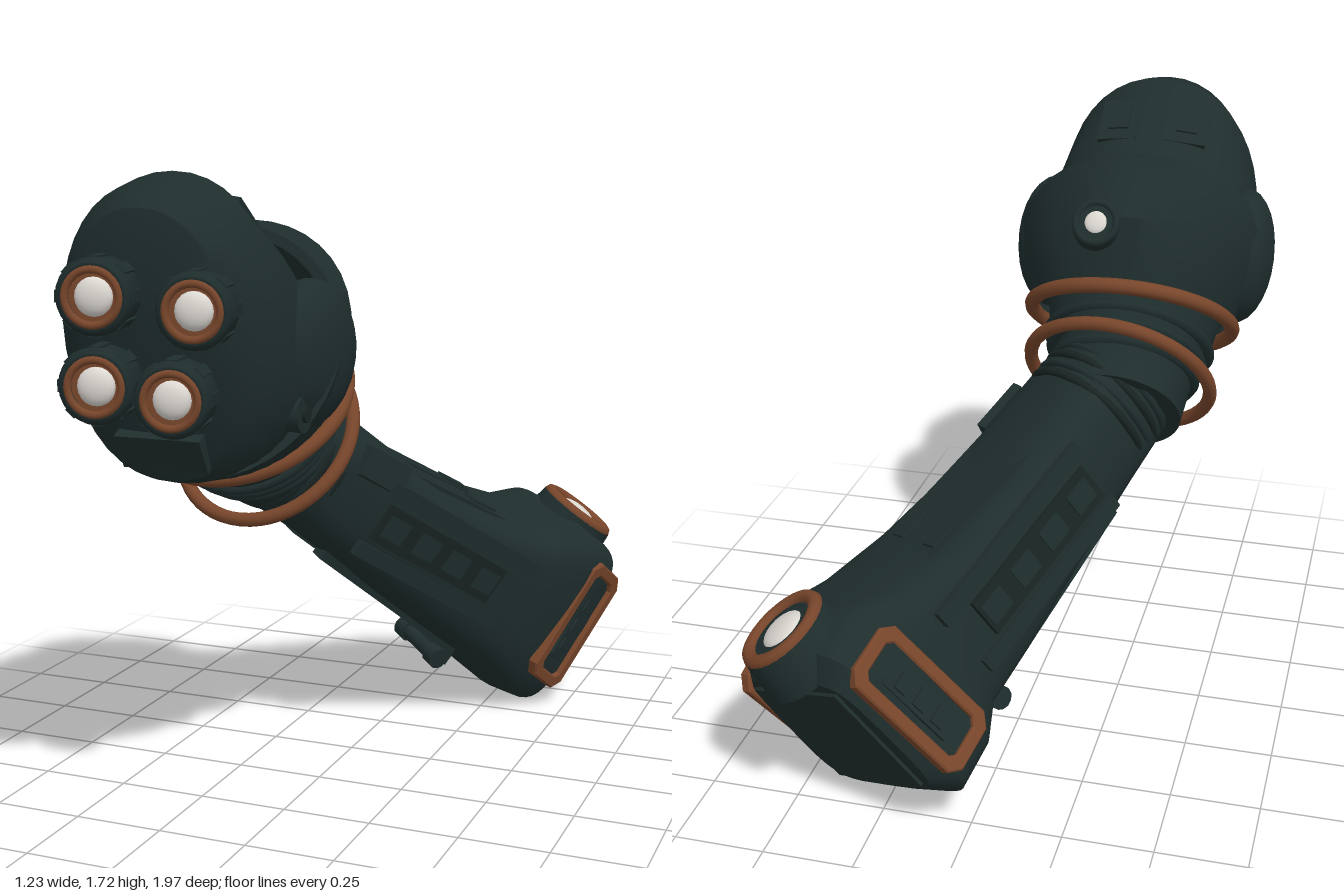
import * as THREE from 'three';
import { toCreasedNormals } from 'three/addons/utils/BufferGeometryUtils.js';

const V = (x, y, z) => new THREE.Vector3(x, y, z);
const paint = (name, color) => {
  const m = new THREE.MeshStandardMaterial({ color, side: THREE.DoubleSide });
  m.name = name;
  return m;
};

export function createModel() {
  const root = new THREE.Group();
  const dark = paint('dark green armour', 0x1f2d2d);
  const groove = paint('groove black', 0x192423);
  const copper = paint('copper trim', 0x78462b);
  const glass = paint('pale lens', 0xdcd8d2);

  const add = (parent, name, geo, mat, pos = [0, 0, 0], rot = [0, 0, 0]) => {
    const m = new THREE.Mesh(geo, mat);
    m.name = name;
    m.position.set(...pos);
    m.rotation.set(...rot);
    parent.add(m);
    return m;
  };
  const box = (parent, name, size, pos, rot, mat = dark) =>
    add(parent, name, new THREE.BoxGeometry(...size), mat, pos, rot);
  // group whose +z points along dir
  const facing = (parent, name, pos, dir) => {
    const g = new THREE.Group();
    g.name = name;
    g.position.set(...pos);
    g.quaternion.setFromUnitVectors(V(0, 0, 1), V(...dir).normalize());
    parent.add(g);
    return g;
  };

  // skin over closed cross-sections, with optional end caps
  const N = 40;
  function loft(rings, caps = true) {
    const p = [], idx = [];
    rings.forEach(r => r.forEach(v => p.push(v.x, v.y, v.z)));
    for (let i = 0; i < rings.length - 1; i++) for (let j = 0; j < N; j++) {
      const k = (j + 1) % N, a = i * N + j, b = i * N + k;
      idx.push(a, b, b + N, a, b + N, a + N);
    }
    if (caps) [0, rings.length - 1].forEach(i => {
      const c = rings[i].reduce((s, v) => s.add(v), V(0, 0, 0)).divideScalar(N);
      const ci = p.length / 3;
      p.push(c.x, c.y, c.z);
      for (let j = 0; j < N; j++) {
        const a = i * N + j, b = i * N + (j + 1) % N;
        idx.push(ci, i ? a : b, i ? b : a);
      }
    });
    const g = new THREE.BufferGeometry();
    g.setAttribute('position', new THREE.Float32BufferAttribute(p, 3));
    g.setIndex(idx);
    return toCreasedNormals(g, 0.55);
  }
  // rounded-square outline: half width, top, bottom, exponent, narrowing towards the top
  const outline = (w, top, bot, e, taper = 0) => Array.from({ length: N }, (_, j) => {
    const a = j / N * Math.PI * 2, c = Math.cos(a), s = Math.sin(a);
    const f = v => Math.sign(v) * Math.abs(v) ** (2 / e);
    return [w * f(c) * (1 - taper * f(s)), (s > 0 ? top : bot) * f(s)];
  });
  // hand section [y, z, pitch in degrees, half width, half height, exponent]
  const handRing = ([y, z, deg, w, h, e = 2]) => {
    const a = deg * Math.PI / 180;
    return outline(w, h, h, e).map(([u, v]) =>
      V(-0.215 + u, y + v * Math.cos(a), z - v * Math.sin(a)));
  };

  // ---------- forearm: local -z runs from wrist to elbow ----------
  const d = V(0.445, -0.505, -0.74).normalize();
  const r = d.clone().cross(V(0.49, 0.83, -0.28)).normalize();
  const v = r.clone().cross(d).negate();
  if (v.y < 0) v.negate();
  const arm = new THREE.Group();
  arm.name = 'forearm';
  arm.quaternion.setFromRotationMatrix(new THREE.Matrix4().makeBasis(r, v, d.clone().negate()));
  arm.position.set(-0.17, 0.93, 0.07);
  root.add(arm);

  // distance along the arm, sideways shift, half width, top, bottom, exponent, taper
  // the elbow block is turned by `turn`
  const turn = 0.24;
  const armRings = [
    [1.22, 0, 0.205, 0.18, 0.27, 5, 0.06], [1.17, 0, 0.24, 0.24, 0.35, 5, 0.1], [1.03, 0, 0.245, 0.25, 0.35, 4.5, 0.1],
    [0.9, 0.015, 0.235, 0.185, 0.3, 4, 0.06], [0.7, 0.025, 0.228, 0.14, 0.28, 4], [0.45, 0.025, 0.212, 0.125, 0.25, 3.5],
    [0.15, 0.01, 0.19, 0.155, 0.21, 3], [-0.04, 0, 0.185, 0.185, 0.2, 2.2]
  ].map(([t, shift, ...s]) => {
    const k = t > 1 ? turn : t > 0.8 ? turn / 3 : 0;
    return outline(...s).map(([x, y]) => V(x + shift - k * (t - 1.12), y, -t - k * x));
  });
  add(arm, 'forearmShell', loft(armRings), dark);
  box(arm, 'elbowEndPlate', [0.34, 0.38, 0.02], [-0.025, -0.045, -1.22], [0, turn, 0]);

  // wrist ribs
  for (let i = 0; i < 4; i++)
    add(arm, 'wristRib', new THREE.TorusGeometry(0.187, 0.012, 6, 36), i % 2 ? groove : dark, [0, -0.008, 0.02 - i * 0.035]);

  // armour strips on the sides, top and underside
  for (const s of [1, -1]) {
    const side = 0.02 + s * 0.214;
    box(arm, 'sideRail', [0.025, 0.05, 0.62], [side, 0.06, -0.55], [0, s * -0.06, 0]);
    box(arm, 'lowerRail', [0.025, 0.045, 0.6], [side, -0.14, -0.55], [0, s * -0.06, 0]);
    box(arm, 'sideChannel', [0.02, 0.12, 0.5], [side, -0.04, -0.52], [0, s * -0.06, 0], groove);
    for (let i = 0; i < 4; i++)
      box(arm, 'channelBlock', [0.03, 0.07, 0.08], [side + s * (i - 1.5) * 0.007, -0.04, -0.33 - i * 0.13], [0, s * -0.06, 0]);
    box(arm, 'topPlate', [0.1, 0.025, 0.44], [0.02 + s * 0.085, 0.124, -0.56], [0.05, 0, 0]);
    box(arm, 'topTab', [0.055, 0.02, 0.1], [0.02 + s * 0.08, 0.14, -0.66], [0.05, 0, 0]);
    box(arm, 'underRail', [0.05, 0.03, 0.6], [0.02 + s * 0.09, -0.257, -0.53], [-0.12, 0, 0]);
  }
  box(arm, 'wristFlap', [0.03, 0.09, 0.17], [0.195, 0.09, -0.2], [0, 0, 0.35]);
  add(arm, 'underPipe', new THREE.CylinderGeometry(0.026, 0.026, 0.2, 12), dark, [0.04, -0.345, -0.84], [0, 0, Math.PI / 2]);
  for (const x of [-0.05, 0.13])
    add(arm, 'pipeCap', new THREE.CylinderGeometry(0.034, 0.034, 0.045, 12), dark, [x, -0.345, -0.84], [0, 0, Math.PI / 2]);
  box(arm, 'pipeBracket', [0.16, 0.1, 0.08], [0.04, -0.31, -0.87]);

  // framed elbow panels on both sides
  const rounded = (P, w, h, c) => {
    P.moveTo(-w + c, -h);
    [[w - c, -h], [w, -h + c], [w, h - c], [w - c, h], [-w + c, h], [-w, h - c], [-w, -h + c]].forEach(q => P.lineTo(...q));
    P.closePath();
    return P;
  };
  const frame = rounded(new THREE.Shape(), 0.093, 0.205, 0.03);
  frame.holes.push(rounded(new THREE.Path(), 0.066, 0.177, 0.02));
  const frameGeo = new THREE.ExtrudeGeometry(frame, { depth: 0.025, bevelSize: 0.005, bevelThickness: 0.005, bevelSegments: 1 });
  for (const [s, x, t, roll] of [[1, 0.228, 1.165, -0.14], [-1, -0.222, 1.05, 0]]) {
    const g = new THREE.Group();
    g.name = 'elbowPanel';
    g.position.set(x, -0.03, -t);
    g.rotation.set(-0.13, s * Math.PI / 2 + turn, roll, 'YXZ');
    arm.add(g);
    add(g, 'panelFrame', frameGeo, copper);
    box(g, 'panelBed', [0.135, 0.36, 0.03], [0, 0, 0]);
    box(g, 'panelCore', [0.08, 0.24, 0.03], [0, 0, 0.01]);
    for (let i = -1; i < 2; i++) box(g, 'panelVent', [0.055, 0.04, 0.02], [0, i * 0.07, 0.022]);
  }

  // round light: mount, ring and lens, facing local +z
  function light(g, R, depth, ringMat) {
    add(g, 'lightMount', new THREE.CylinderGeometry(R, R * 1.12, depth, 28), dark, [0, 0, -depth / 2], [Math.PI / 2, 0, 0]);
    add(g, 'lightRing', new THREE.TorusGeometry(R * 0.84, R * 0.16, 8, 32), ringMat);
    add(g, 'lightBed', new THREE.CircleGeometry(R * 0.72, 28), dark, [0, 0, 0.003]);
    add(g, 'lens', new THREE.SphereGeometry(R * 0.48, 20, 10), glass).scale.z = 0.35;
  }
  light(facing(arm, 'elbowLight', [0, 0.277, -1.13], [0.1, 1, 0]), 0.13, 0.12, copper);

  // ---------- wrist ----------
  add(root, 'neck', loft([[0.9, 0.03, 35, 0.19, 0.19], [0.97, 0.15, 37, 0.2, 0.21], [1.05, 0.24, 46, 0.24, 0.25],
    [1.12, 0.32, 50, 0.26, 0.27]].map(handRing)), dark);
  for (const [y, z, R] of [[0.97, 0.15, 0.205], [1.0, 0.19, 0.22], [1.03, 0.22, 0.235]])
    add(facing(root, 'neckRib', [-0.215, y, z], [0, 0.65, 0.76]), 'neckRibRing', new THREE.TorusGeometry(R, 0.018, 6, 40), dark);
  add(facing(root, 'lowerRing', [-0.205, 0.965, 0.145], [-0.08, 0.6, 0.8]), 'lowerCopperRing', new THREE.TorusGeometry(0.268, 0.02, 10, 56), copper);
  add(facing(root, 'upperRing', [-0.21, 1.09, 0.285], [0, 0.79, 0.61]), 'upperCopperRing', new THREE.TorusGeometry(0.297, 0.022, 10, 56), copper);

  // ---------- hand ----------
  add(root, 'fist', loft([[1.09, 0.3, 48, 0.25, 0.27, 2], [1.19, 0.43, 28, 0.3, 0.29, 2.2], [1.26, 0.58, 15, 0.32, 0.345, 2.2],
    [1.33, 0.69, 4, 0.3, 0.39, 2.1], [1.335, 0.76, -4, 0.27, 0.362, 2.1], [1.34, 0.805, -9, 0.225, 0.3, 2.1],
    [1.34, 0.825, -10, 0.18, 0.23, 2.1]].map(handRing)), dark);
  // open collar around the fist, folded back inside at its rim
  add(root, 'collar', loft([[1.09, 0.29, 52, 0.28, 0.3], [1.19, 0.335, 42, 0.34, 0.365], [1.255, 0.41, 33, 0.37, 0.385],
    [1.25, 0.48, 24, 0.375, 0.355], [1.25, 0.475, 24, 0.345, 0.325], [1.2, 0.38, 33, 0.3, 0.3]].map(handRing), false), dark);
  for (const s of [1, -1]) {
    // side guards and pivot bolts
    add(root, 'sideGuard', new THREE.SphereGeometry(1, 24, 14), dark, [-0.22 + s * 0.28, 1.25, 0.46], [0.5, s * -0.15, 0]).scale.set(0.1, 0.2, 0.19);
    add(root, 'pivotBolt', new THREE.CylinderGeometry(0.045, 0.05, 0.08, 16), dark, [-0.22 + s * 0.28, 1.11, 0.57], [0, 0, Math.PI / 2]);
    add(root, 'pivotCap', new THREE.CylinderGeometry(0.022, 0.022, 0.1, 12), groove, [-0.22 + s * 0.28, 1.11, 0.57], [0, 0, Math.PI / 2]);
    // raised pads on the back of the fist
    box(root, 'backPad', [0.12, 0.03, 0.15], [-0.215 + s * 0.1, 1.606, 0.55], [-0.62, 0, s * -0.15]);
    box(root, 'backPadInset', [0.06, 0.036, 0.08], [-0.215 + s * 0.1, 1.61, 0.55], [-0.62, 0, s * -0.15]);
  }
  box(root, 'chinPlate', [0.24, 0.1, 0.05], [-0.21, 1.03, 0.745], [0.5, 0, 0]);
  light(facing(root, 'collarLight', [-0.14, 1.44, 0.085], [0, 0.5, -0.85]), 0.068, 0.06, dark);

  // four knuckle lamps
  const barrelGeo = new THREE.LatheGeometry([[0.07, -0.24], [0.07, -0.13], [0.092, -0.11], [0.095, -0.02], [0.085, 0],
    [0.07, 0], [0.062, -0.03]].map(q => new THREE.Vector2(...q)), 24);
  for (const p of [[-0.27, 1.43, 0.98], [-0.03, 1.4, 0.93], [-0.27, 1.215, 0.98], [-0.085, 1.187, 0.945]]) {
    const g = facing(root, 'knuckleLamp', p, [0.24, 0, 0.97]);
    add(g, 'lampBarrel', barrelGeo, dark, [0, 0, 0], [Math.PI / 2, 0, 0]);
    add(g, 'lampRing', new THREE.TorusGeometry(0.067, 0.01, 8, 28), copper, [0, 0, -0.002]);
    add(g, 'lampBed', new THREE.CircleGeometry(0.066, 24), copper, [0, 0, -0.024]);
    add(g, 'lampLens', new THREE.SphereGeometry(0.048, 18, 10), glass, [0, 0, -0.02]).scale.z = 0.5;
    for (let i = 0; i < 8; i++) {
      const a = i * Math.PI / 4;
      box(g, 'lampFin', [0.018, 0.03, 0.09], [0.088 * Math.cos(a), 0.088 * Math.sin(a), -0.065], [0, 0, a]);
    }
  }
  return root;
}
